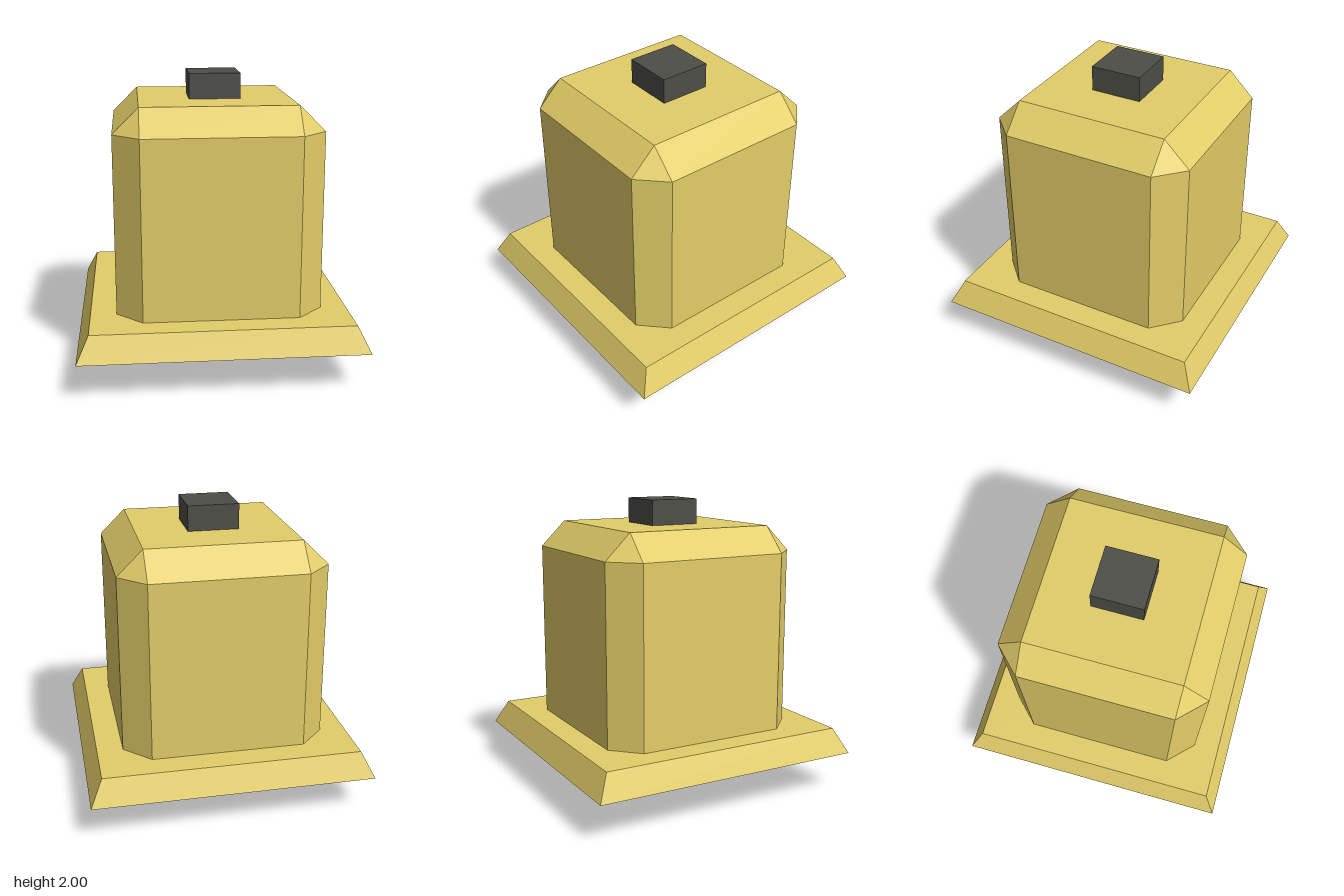
import * as THREE from 'three';
import { ConvexGeometry } from 'three/addons/geometries/ConvexGeometry.js';

export function createModel() {
  const model = new THREE.Group();
  const gold = new THREE.MeshStandardMaterial({ color: 0xe2cd68 });
  const charcoal = new THREE.MeshStandardMaterial({ color: 0x4e4e48 });
  gold.name = 'gold';
  charcoal.name = 'charcoal';

  const add = (name, geometry, material, y = 0) => {
    const mesh = new THREE.Mesh(geometry, material);
    mesh.name = name;
    mesh.position.y = y;
    model.add(mesh);
    return mesh;
  };
  const faceted = (g) => {
    const flat = g.toNonIndexed();
    flat.computeVertexNormals();
    return flat;
  };

  // Square plan with cut corners: outer half width w, flat half width f
  const octagon = (w, f) => {
    const points = [];
    for (const sx of [-1, 1]) for (const sz of [-1, 1]) {
      points.push([sx * w, sz * f], [sx * f, sz * w]);
    }
    return points;
  };

  // Bell body: chamfered vertical edges and chamfered top
  const W = 0.695, F = 0.52;
  const body = [];
  for (const [x, z] of octagon(W, F)) {
    for (const y of [0.43, 1.655]) body.push(new THREE.Vector3(x, y, z));
  }
  for (const x of [-F, F]) for (const z of [-F, F]) body.push(new THREE.Vector3(x, 1.828, z));
  add('bellBody', new ConvexGeometry(body), gold);

  // Flared square lip
  const lip = new THREE.CylinderGeometry(0.87 * Math.SQRT2, 0.953 * Math.SQRT2, 0.17, 4);
  lip.rotateY(Math.PI / 4);
  add('flaredLip', faceted(lip), gold, 0.35);

  // Dark mouth on the underside
  const mouth = [];
  for (const [x, z] of octagon(0.765, 0.535)) {
    for (const y of [0.262, 0.267]) mouth.push(new THREE.Vector3(x, y, z));
  }
  add('bellMouth', new ConvexGeometry(mouth), charcoal);

  // Clapper: faceted ball, lower half hanging below the lip
  const ball = new THREE.SphereGeometry(0.355, 12, 6);
  ball.rotateY(Math.PI / 12);
  add('clapper', faceted(ball), gold, 0.355);

  // Mounting block on top
  add('mountingBlock', new THREE.BoxGeometry(0.348, 0.175, 0.348), charcoal, 1.9125);

  return model;
}
